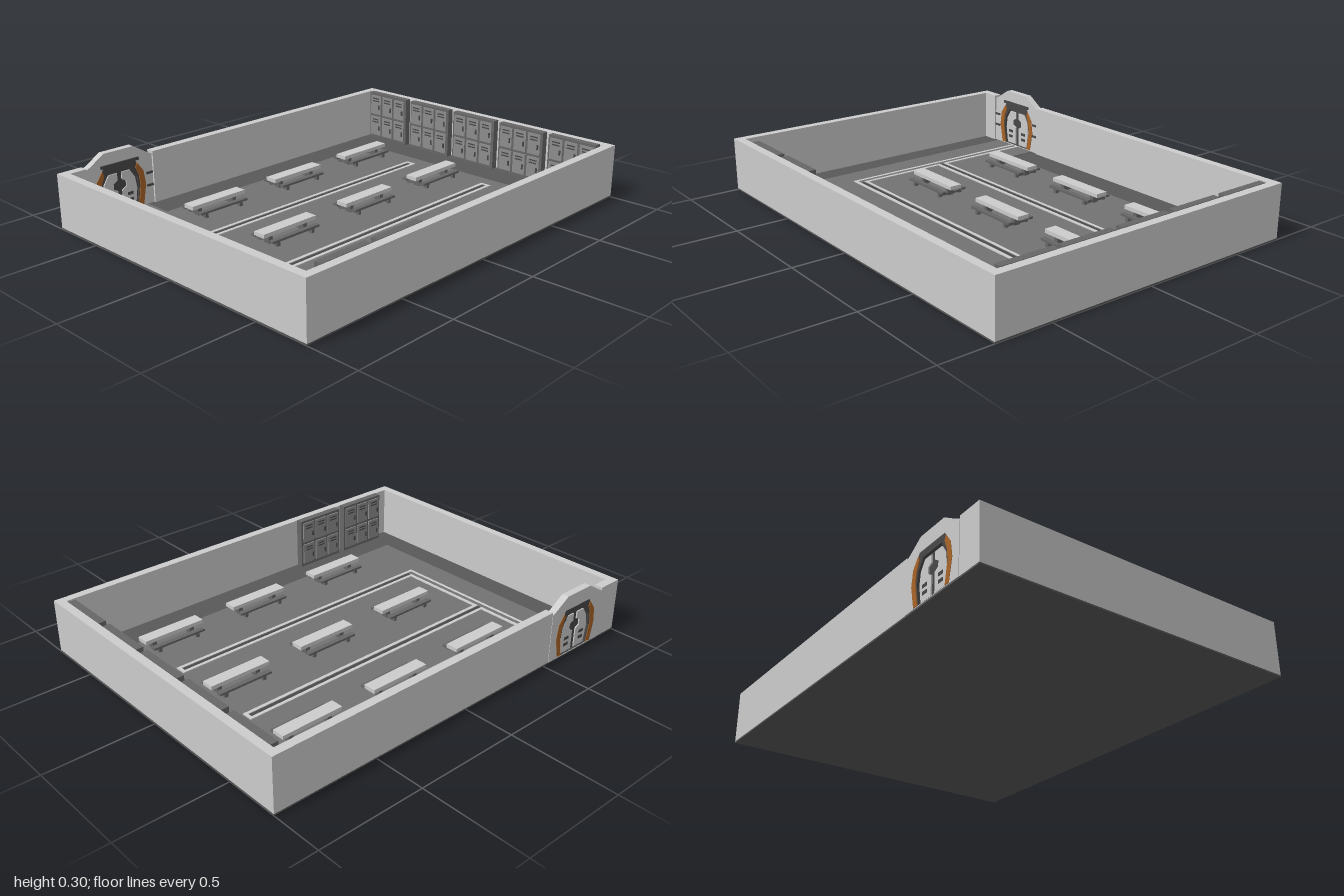
import * as THREE from 'three';

const mat = (color) => new THREE.MeshStandardMaterial({ color });
const GREY = mat(0xcccccc), FLOOR = mat(0x585858), CARPET = mat(0x727272);
const DARK = mat(0x484848), METAL = mat(0x666666), PANEL = mat(0x8c8c8c), ORANGE = mat(0xa86428);

const H = 0.255, X = 1, Z = 0.76, T = 0.04, F = 0.007;
const DOOR_X = -0.705, DOOR_W = 0.175;

function add(parent, name, geometry, material, x = 0, y = 0, z = 0) {
  const mesh = new THREE.Mesh(geometry, material);
  mesh.name = name;
  mesh.position.set(x, y, z);
  parent.add(mesh);
  return mesh;
}

// Box given by its min and max on each axis
function block(parent, name, material, x0, x1, y0, y1, z0, z1) {
  return add(parent, name, new THREE.BoxGeometry(x1 - x0, y1 - y0, z1 - z0), material,
    (x0 + x1) / 2, (y0 + y1) / 2, (z0 + z1) / 2);
}

const points = (list) => list.map(([x, y]) => new THREE.Vector2(x, y));

function plate(outline, hole, depth) {
  const shape = new THREE.Shape(points(outline));
  if (hole) shape.holes.push(new THREE.Path(points(hole)));
  return new THREE.ExtrudeGeometry(shape, { depth, bevelEnabled: false });
}

function group(parent, name, x = 0, y = 0, z = 0) {
  const g = new THREE.Group();
  g.name = name;
  g.position.set(x, y, z);
  parent.add(g);
  return g;
}

function buildShell(root) {
  const shell = group(root, 'shell');
  block(shell, 'floorSlab', FLOOR, -X, X, 0, F, -Z, Z);
  block(shell, 'frontWall', GREY, -X, X, F, H, Z - T, Z);
  for (const s of [-1, 1]) {
    add(shell, s < 0 ? 'rightWall' : 'leftWall', new THREE.BoxGeometry(T, H - F, 2 * (Z - T)), GREY,
      s * (X - T / 2), (H + F) / 2, 0);
  }
  // back wall leaves a gap for the door
  block(shell, 'backWallLong', GREY, DOOR_X + DOOR_W, X, F, H, -Z, T - Z);
  block(shell, 'backWallShort', GREY, -X, DOOR_X - DOOR_W, F, H, -Z, T - Z);

  // lighter floor covering reaching out to the door
  const carpet = plate([[-0.85, -0.72], [-0.57, -0.72], [-0.57, -0.58], [0.78, -0.58],
    [0.78, 0.58], [-0.85, 0.58]], null, 0.003);
  add(shell, 'carpet', carpet.rotateX(Math.PI / 2), CARPET, 0, F + 0.003, 0);
}

function buildGuideLines(root) {
  const lines = group(root, 'guideLines');
  // outline of an F-shaped walkway, grown or shrunk by d
  const path = (d) => [[-0.712 - d, -0.72], [-0.712 - d, 0.262 + d], [0.692 + d, 0.262 + d],
    [0.692 + d, 0.24 - d], [-0.692 + d, 0.24 - d], [-0.692 + d, -0.21 + d], [0.692 + d, -0.21 + d],
    [0.692 + d, -0.232 - d], [-0.692 + d, -0.232 - d], [-0.692 + d, -0.72]];
  const hole = path(0);
  hole[0][1] = hole[9][1] = -0.715;
  add(lines, 'walkwayBorder', plate(path(0.016), hole, 0.005).rotateX(Math.PI / 2), GREY, 0, F + 0.007, 0);
  for (const z of [-0.221, 0.251]) {
    block(lines, 'walkwayChannel', DARK, -0.692, 0.69, F, F + 0.004, z - 0.01, z + 0.01);
  }
}

function buildTable(root, x, z) {
  const t = group(root, 'tableWithBenches', x, F, z);
  block(t, 'tableTop', GREY, -0.152, 0.152, 0.042, 0.06, -0.03, 0.03);
  for (const s of [-1, 1]) {
    add(t, 'tableLeg', new THREE.BoxGeometry(0.022, 0.042, 0.03), METAL, s * 0.1, 0.021, 0);
    add(t, 'benchCrossbar', new THREE.BoxGeometry(0.018, 0.01, 0.12), METAL, s * 0.1, 0.012, 0);
    add(t, 'benchSeat', new THREE.BoxGeometry(0.27, 0.01, 0.024), METAL, 0, 0.029, s * 0.056);
    for (const e of [-1, 1]) {
      add(t, 'benchLeg', new THREE.BoxGeometry(0.016, 0.025, 0.016), METAL, e * 0.1, 0.0125, s * 0.056);
    }
  }
}

// Locker bank with its back at z = 0, facing +z
function buildLocker(root, x, z, turn) {
  const g = group(root, 'lockerBank', x, F, z);
  g.rotation.y = turn;
  const w = 0.256, h = 0.25, d = 0.034;
  block(g, 'lockerBody', METAL, -w / 2, w / 2, 0, h, 0, d);
  for (let c = -1; c <= 1; c++) {
    for (let r = 0; r < 2; r++) {
      const cx = c * 0.082, cy = 0.068 + r * 0.118;
      add(g, 'lockerDoor', new THREE.BoxGeometry(0.07, 0.104, 0.006), PANEL, cx, cy, d + 0.003);
      for (const dy of [0.022, 0.036]) {
        add(g, 'lockerVent', new THREE.BoxGeometry(0.042, 0.006, 0.002), DARK, cx, cy + dy, d + 0.007);
      }
      add(g, 'lockerHandle', new THREE.BoxGeometry(0.008, 0.024, 0.005), DARK, cx + 0.023, cy - 0.012, d + 0.008);
    }
  }
}

function buildDoor(root) {
  const door = group(root, 'door', DOOR_X, F, -Z);
  // arched opening, w = half width, h = height
  const arch = (w, h, y = 0.003) => [[-w * 0.86, y], [w * 0.86, y], [w, h * 0.45], [w * 0.92, h * 0.75],
    [w * 0.62, h], [-w * 0.62, h], [-w * 0.92, h * 0.75], [-w, h * 0.45]];
  const W = DOOR_W;
  const surround = [[-W, 0], [W, 0], [W, 0.235], [0.15, 0.248], [0.078, 0.293], [-0.078, 0.293],
    [-0.15, 0.248], [-W, 0.235]];
  add(door, 'doorSurround', plate(surround, arch(0.135, 0.225), 0.033), GREY, 0, 0, -0.002);
  add(door, 'doorFrame', plate(arch(0.135, 0.225), arch(0.1, 0.195, 0.006), 0.028), DARK);
  add(door, 'doorBacking', plate(arch(0.1, 0.195), null, 0.008), DARK, 0, 0, 0.011);

  for (const s of [-1, 1]) {
    // curved orange jambs, seen from both sides
    const jamb = plate([[s * 0.09, 0.005], [s * 0.116, 0.005], [s * 0.134, 0.1], [s * 0.124, 0.168],
      [s * 0.092, 0.212], [s * 0.084, 0.19], [s * 0.1, 0.15], [s * 0.106, 0.1]], null, 0.036);
    add(door, 'doorJamb', jamb, ORANGE, 0, 0, -0.003);
    // door leaf with a notched meeting edge
    const leaf = plate([[s * 0.012, 0.008], [s * 0.078, 0.008], [s * 0.09, 0.09], [s * 0.082, 0.145],
      [s * 0.056, 0.185], [s * 0.012, 0.185], [s * 0.012, 0.15], [s * 0.034, 0.138],
      [s * 0.034, 0.112], [s * 0.012, 0.1]], null, 0.02);
    add(door, 'doorLeaf', leaf, GREY, 0, 0, 0.005);
    for (const y of [0.045, 0.075]) {
      add(door, 'leafInset', new THREE.BoxGeometry(0.03, 0.014, 0.024), DARK, s * 0.052, y, 0.015);
    }
    for (const y of [0.09, 0.15]) {
      add(door, 'surroundBar', new THREE.BoxGeometry(0.034, 0.01, 0.008), DARK, s * 0.155, y, 0.034);
    }
  }
  // dark band over the opening on the room side
  add(door, 'doorHeader', new THREE.BoxGeometry(0.2, 0.014, 0.008), DARK, 0, 0.232, 0.034);
}

export function createModel() {
  const root = new THREE.Group();
  root.name = 'messHall';
  buildShell(root);
  buildGuideLines(root);
  for (const z of [-0.452, 0.014, 0.505]) {
    for (const x of [-0.395, 0.1, 0.58]) buildTable(root, x, z);
  }
  for (let i = -2; i <= 2; i++) buildLocker(root, X - T, i * 0.288, -Math.PI / 2);
  for (const x of [-0.76, -0.47]) buildLocker(root, x, Z - T, Math.PI);
  buildDoor(root);
  return root;
}
